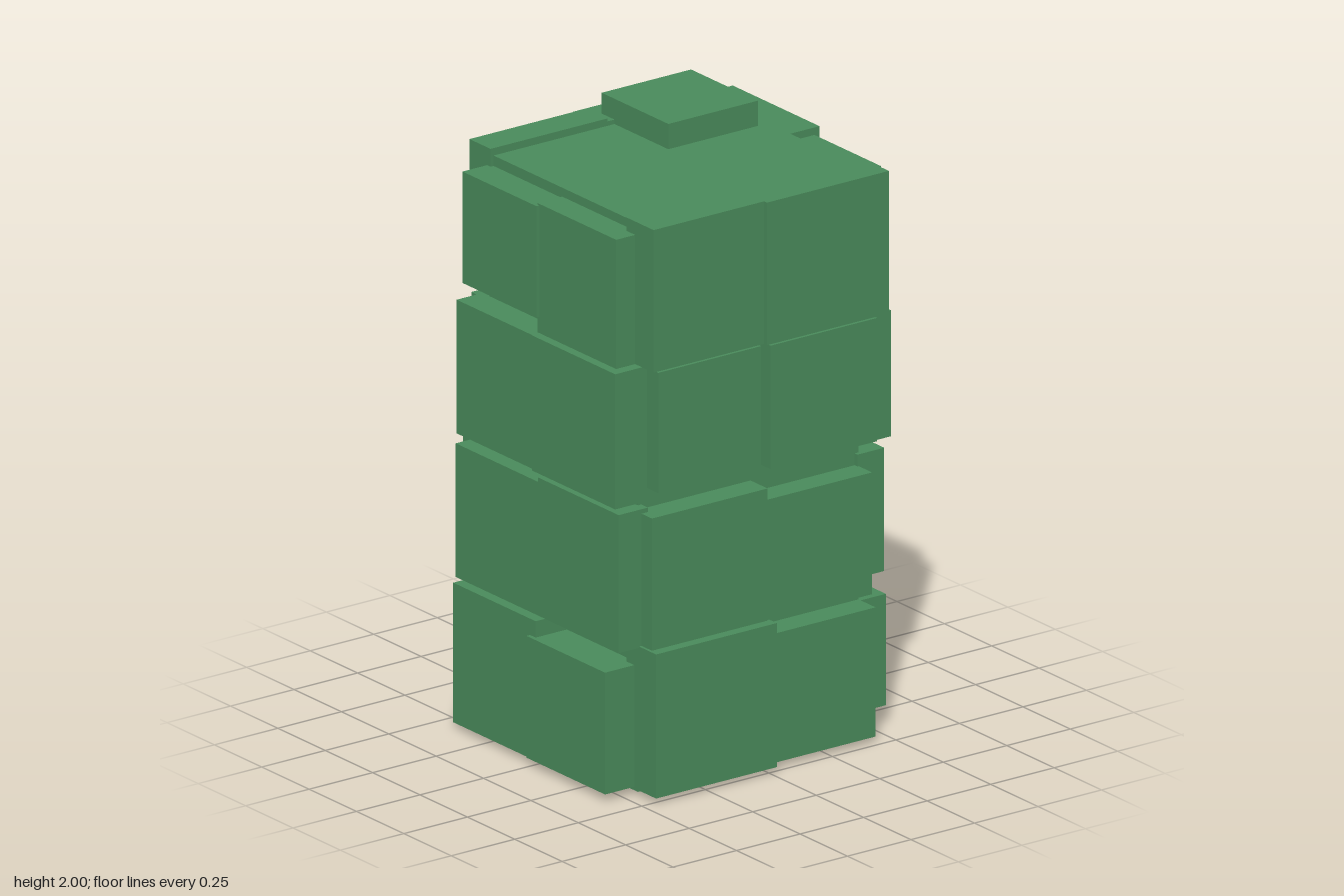
import * as THREE from 'three';

const leafGreen = new THREE.MeshStandardMaterial({ color: 0x4a8c5c });
leafGreen.name = 'leafGreen';

// Box from its lower and upper bounds on each axis
function block(name, [x0, x1], [y0, y1], [z0, z1]) {
  const mesh = new THREE.Mesh(new THREE.BoxGeometry(x1 - x0, y1 - y0, z1 - z0), leafGreen);
  mesh.position.set((x0 + x1) / 2, (y0 + y1) / 2, (z0 + z1) / 2);
  mesh.name = name;
  return mesh;
}

// Slabs per side, bottom row first: [start, end, bottom, top, outer face]
const sides = {
  front: { axis: 'z', inner: 0.36, slabs: [
    [-0.455, 0.02, 0.02, 0.505, 0.515], [0.02, 0.435, 0.02, 0.455, 0.48],
    [-0.445, 0.01, 0.5, 0.95, 0.48], [0.01, 0.425, 0.5, 0.91, 0.475],
    [-0.42, -0.015, 1.03, 1.435, 0.48], [0.01, 0.43, 1.02, 1.435, 0.495],
    [-0.455, -0.02, 1.45, 1.93, 0.502], [-0.02, 0.46, 1.45, 1.93, 0.517],
  ] },
  back: { axis: 'z', inner: -0.372, slabs: [
    [-0.43, 0, 0.03, 0.455, -0.49], [-0.01, 0.45, 0.02, 0.485, -0.517],
    [-0.455, 0.03, 0.505, 0.985, -0.505], [0.03, 0.44, 0.505, 0.95, -0.505],
    [-0.44, 0, 0.95, 1.425, -0.48], [0, 0.44, 0.945, 1.395, -0.485],
    [-0.445, 0.015, 1.45, 1.94, -0.483], [-0.02, 0.46, 1.455, 1.93, -0.507],
  ] },
  left: { axis: 'x', inner: 0.42, slabs: [
    [0.02, 0.38, 0.07, 0.445, 0.55], [-0.415, 0.02, 0.02, 0.455, 0.555],
    [-0.005, 0.405, 0.535, 0.95, 0.525], [-0.39, -0.005, 0.54, 0.915, 0.535],
    [-0.02, 0.41, 0.985, 1.41, 0.547], [-0.425, 0.03, 0.94, 1.39, 0.568],
    [0.03, 0.38, 1.525, 1.89, 0.53], [-0.428, 0.03, 1.465, 1.915, 0.55],
  ] },
  right: { axis: 'x', inner: -0.42, slabs: [
    [-0.015, 0.4, 0.025, 0.435, -0.57], [-0.42, 0.015, 0.02, 0.49, -0.556],
    [0, 0.425, 0.5, 0.965, -0.535], [-0.435, 0, 0.5, 0.95, -0.535],
    [-0.02, 0.42, 0.985, 1.44, -0.545], [-0.43, -0.02, 0.985, 1.435, -0.535],
    [-0.01, 0.405, 1.45, 1.885, -0.53], [-0.39, 0, 1.505, 1.88, -0.542],
  ] },
};

export function createModel() {
  const model = new THREE.Group();
  model.name = 'blockHedge';

  // Inner column and the small block on top
  model.add(block('core', [-0.433, 0.435], [0, 1.915], [-0.393, 0.39]));
  model.add(block('topBlock', [0.043, 0.395], [1.91, 2], [-0.44, -0.088]));

  // Staggered slabs around the four sides
  for (const [side, { axis, inner, slabs }] of Object.entries(sides)) {
    const group = new THREE.Group();
    group.name = side + 'Slabs';
    slabs.forEach(([start, end, bottom, top, outer], i) => {
      const along = [start, end];
      const depth = [Math.min(inner, outer), Math.max(inner, outer)];
      const [x, z] = axis === 'z' ? [along, depth] : [depth, along];
      group.add(block(`${side}Slab${i + 1}`, x, [bottom, top], z));
    });
    model.add(group);
  }
  return model;
}
